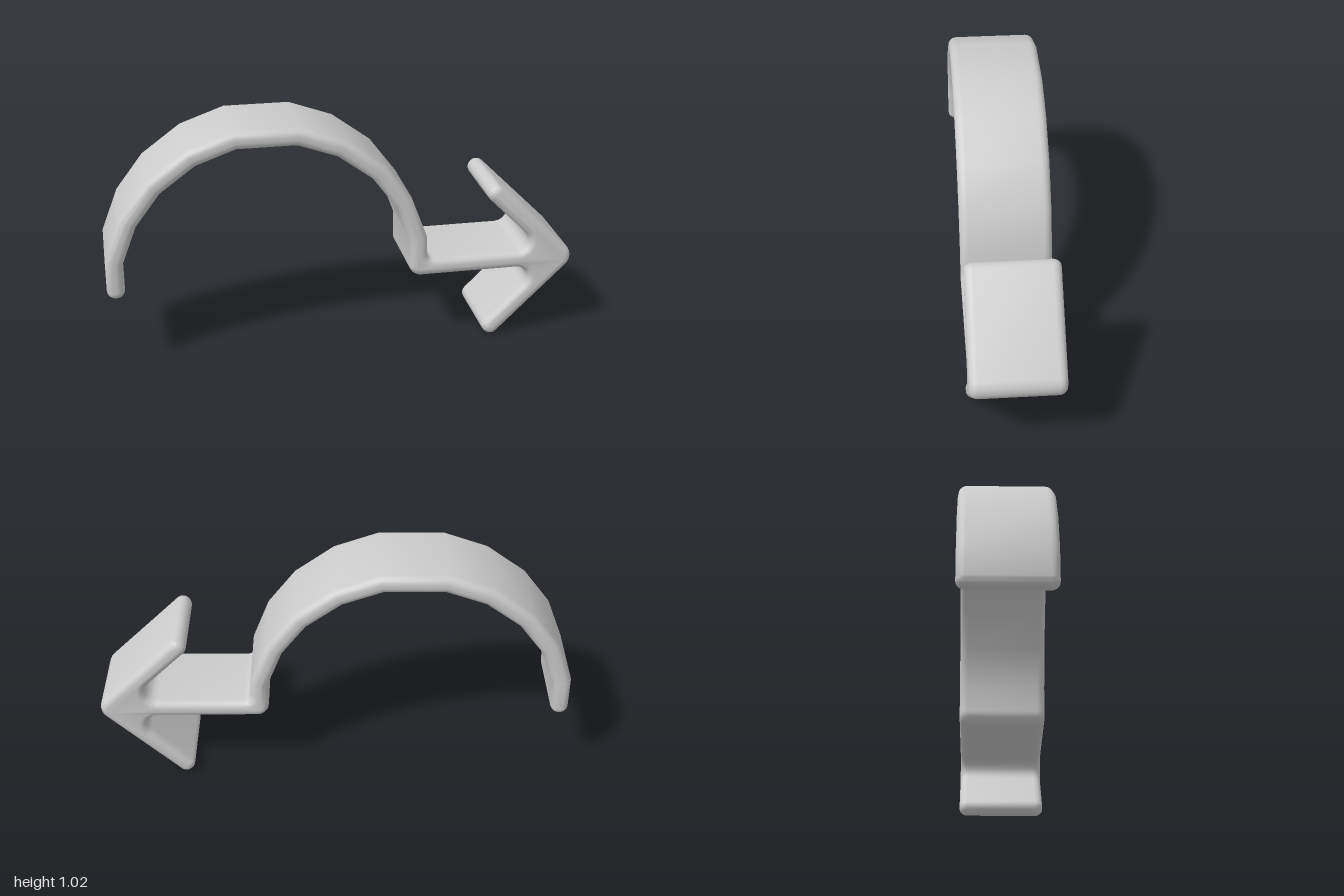
import * as THREE from 'three';
import { toCreasedNormals } from 'three/addons/utils/BufferGeometryUtils.js';

const AXIS = 0.362; // height of the arrow shaft
const HALF = 0.037; // half the band thickness

// Turn corners [x, y, radius] into a closed outline with true arc fillets
function roundedOutline(corners) {
  const out = [];
  const n = corners.length;
  corners.forEach(([x, y, r], i) => {
    const p = new THREE.Vector2(x, y);
    if (!r) { out.push(p); return; }
    const [px, py] = corners[(i + n - 1) % n];
    const [nx, ny] = corners[(i + 1) % n];
    const a = new THREE.Vector2(px, py).sub(p).normalize();
    const b = new THREE.Vector2(nx, ny).sub(p).normalize();
    const half = Math.acos(THREE.MathUtils.clamp(a.dot(b), -1, 1)) / 2;
    const t = r / Math.tan(half);
    const c = p.clone().addScaledVector(a.clone().add(b).normalize(), r / Math.sin(half));
    const start = p.clone().addScaledVector(a, t).sub(c).angle();
    const end = p.clone().addScaledVector(b, t).sub(c).angle();
    let sweep = end - start;
    if (sweep > Math.PI) sweep -= 2 * Math.PI;
    if (sweep < -Math.PI) sweep += 2 * Math.PI;
    for (let k = 0; k <= 6; k++) {
      const ang = start + sweep * k / 6;
      out.push(new THREE.Vector2(c.x + r * Math.cos(ang), c.y + r * Math.sin(ang)));
    }
  });
  return out;
}

export function createModel() {
  const group = new THREE.Group();
  group.name = 'archedArrow';
  const grey = new THREE.MeshStandardMaterial({ color: 0xcccccc });
  grey.name = 'plain grey';

  // Faceted arch with a flat crown
  const angles = [13, 29, 45, 62, 78.5, 101.5, 118, 135, 151, 167];
  const arch = (radius) => angles.map((deg) => {
    const a = THREE.MathUtils.degToRad(deg);
    return [-0.323 + radius * Math.cos(a), 0.349 + radius * Math.sin(a), 0];
  });

  // One barb of the arrowhead, from the shaft out to its rounded end
  const barb = (side) => [
    [0.877, HALF, 0.05],
    [0.6, 0.314, 0.036],
    [0.653, 0.367, 0.036],
  ].map(([x, y, r]) => [x, AXIS + side * y, r]);

  const outline = roundedOutline([
    [-1, 0.332, 0.036],                 // foot of the arch
    [-0.925, 0.332, 0.036],
    ...arch(0.618).reverse(),           // inside of the arch
    [0.28, AXIS - HALF, 0.05],          // elbow into the shaft
    ...barb(-1),
    [1.024, AXIS, 0.06],                // arrow tip
    ...barb(1).reverse(),
    [0.357, AXIS + HALF, 0.03],
    ...arch(0.694),                     // outside of the arch
  ]);

  // Softly rounded rim on both faces
  const bevel = 0.03, rim = 0.035, depth = 0.38 - 2 * rim;
  const band = new THREE.ExtrudeGeometry(new THREE.Shape(outline), {
    depth, steps: 1, bevelEnabled: true, bevelSize: bevel, bevelOffset: -bevel,
    bevelThickness: rim, bevelSegments: 5,
  });
  band.translate(0, 0, -depth / 2);

  const mesh = new THREE.Mesh(toCreasedNormals(band, 0.7), grey);
  mesh.name = 'archAndArrowBand';
  group.add(mesh);
  return group;
}
